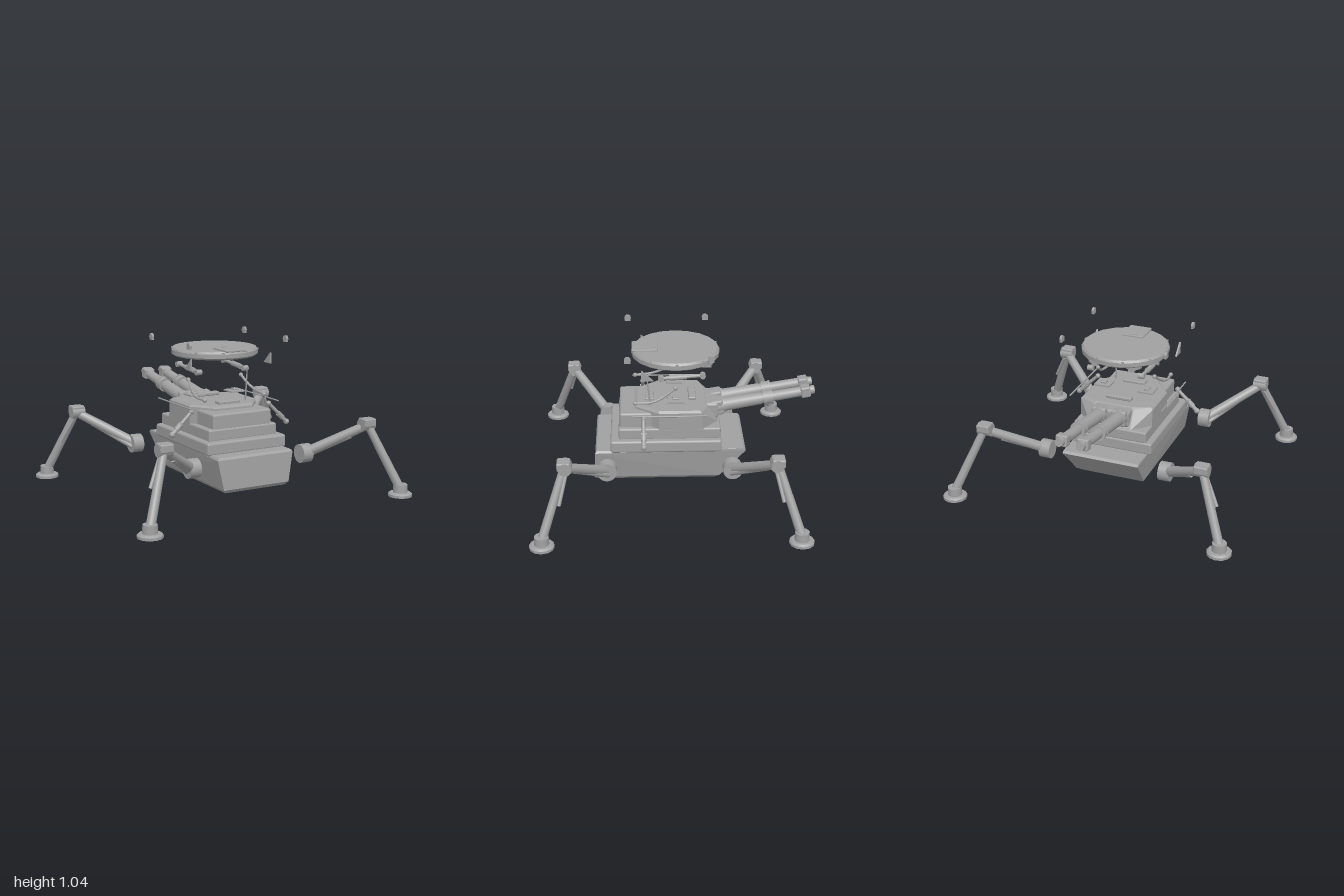
import * as THREE from 'three';
import { RoundedBoxGeometry } from 'three/addons/geometries/RoundedBoxGeometry.js';
import { ConvexGeometry } from 'three/addons/geometries/ConvexGeometry.js';

const V = (x, y, z) => new THREE.Vector3(x, y, z);

export function createModel() {
  const root = new THREE.Group();
  root.name = 'walkingTurret';
  const grey = new THREE.MeshStandardMaterial({ color: 0xa0a0a0 });
  grey.name = 'plain grey';

  const add = (name, geo, pos = [0, 0, 0], parent = root) => {
    const m = new THREE.Mesh(geo, grey);
    m.name = name;
    m.position.set(...pos);
    parent.add(m);
    return m;
  };
  const box = (name, size, pos, parent) => add(name, new THREE.BoxGeometry(...size), pos, parent);
  const rounded = (name, size, pos, r = 0.012, parent = root) =>
    add(name, new RoundedBoxGeometry(...size, 2, r), pos, parent);
  // Cylinder from point a to point b
  const rod = (name, a, b, r0, r1 = r0, sides = 16, parent = root) => {
    const d = b.clone().sub(a);
    const m = add(name, new THREE.CylinderGeometry(r1, r0, d.length(), sides), [0, 0, 0], parent);
    m.position.copy(a).addScaledVector(d, 0.5);
    m.quaternion.setFromUnitVectors(V(0, 1, 0), d.normalize());
    return m;
  };
  // Mirrored convex solid from half outlines [x, z] at given heights
  const solid = (name, layers) => {
    const pts = [];
    for (const [y, outline] of layers)
      for (const [x, z] of outline) pts.push(V(x, y, z), V(-x, y, z));
    return add(name, new ConvexGeometry(pts));
  };

  // Hull with tapered sides, raked stern and bevelled bottom
  solid('hull', [
    [0.325, [[0.27, 0.515], [0.265, -0.46]]],
    [0.31, [[0.28, 0.525], [0.265, -0.475]]],
    [0.115, [[0.243, 0.538], [0.243, -0.305]]],
    [0.092, [[0.222, 0.518], [0.222, -0.275]]],
  ]);

  // Stepped decks
  rounded('lowerDeck', [0.59, 0.085, 0.735], [0, 0.36, 0.055], 0.015);
  rounded('middleDeck', [0.51, 0.08, 0.675], [0, 0.435, 0.03], 0.012);
  rounded('frontHousing', [0.44, 0.11, 0.29], [0, 0.517, 0.215], 0.015);

  // Faceted turret
  solid('turret', [
    [0.598, [[0.13, 0.24], [0.24, 0.1], [0.24, -0.17], [0.13, -0.21]]],
    [0.585, [[0.135, 0.26], [0.255, 0.1], [0.255, -0.18], [0.14, -0.225]]],
    [0.465, [[0.135, 0.27], [0.255, 0.1], [0.255, -0.19], [0.14, -0.3]]],
  ]);
  rounded('rearVent', [0.18, 0.025, 0.05], [0, 0.612, -0.125], 0.008);
  rounded('frontVent', [0.16, 0.02, 0.06], [0, 0.605, 0.16], 0.006);
  rounded('mantlet', [0.26, 0.11, 0.1], [0, 0.54, -0.25], 0.02);

  for (const s of [-1, 1]) {
    // Elevated cannon
    const gun = new THREE.Group();
    gun.name = s > 0 ? 'leftCannon' : 'rightCannon';
    gun.position.set(s * 0.07, 0.548, -0.27);
    gun.rotation.x = 0.168;
    root.add(gun);
    const section = (name, from, to, r0, r1 = r0, sides = 20) =>
      rod(name, V(0, 0, -from), V(0, 0, -to), r0, r1, sides, gun);
    rounded('gunMount', [0.1, 0.105, 0.09], [0, 0, -0.02], 0.015, gun);
    section('breech', 0.02, 0.075, 0.055, 0.05);
    section('outerBarrel', 0.06, 0.325, 0.046, 0.041);
    section('barrelNeck', 0.32, 0.35, 0.036);
    section('collar', 0.335, 0.395, 0.046);
    for (const d of [0.34, 0.385]) section('collarRing', d, d + 0.014, 0.05);
    section('innerBarrel', 0.39, 0.6, 0.035, 0.033);
    rounded('muzzleBrake', [0.078, 0.075, 0.065], [0, 0, -0.62], 0.012, gun);
    section('muzzle', 0.64, 0.682, 0.032, 0.027);

    // Roof hatch plates and side rails
    box('roofPlate', [0.11, 0.01, 0.11], [s * 0.155, 0.64, -0.012]);
    rounded('roofPlateHandle', [0.035, 0.015, 0.045], [s * 0.155, 0.65, -0.012], 0.005);
    rod('sideRail', V(s * 0.325, 0.6, 0.275), V(s * 0.325, 0.6, -0.205), 0.005, 0.005, 8);

    // Side launcher with swollen ends
    const a = V(s * 0.295, 0.573, 0.203), b = V(s * 0.437, 0.435, 0.203);
    rod('sideArm', a, b, 0.011, 0.015, 12);
    add('sideArmTop', new THREE.SphereGeometry(0.018, 12, 8), a.toArray());
    add('sideArmTip', new THREE.SphereGeometry(0.02, 12, 8), b.toArray());
    rod('sideArmSleeve', a.clone().lerp(b, 0.55), a.clone().lerp(b, 0.78), 0.019, 0.019, 12);
    rod('sideArmPin', V(s * 0.375, 0.5, 0.185), V(s * 0.375, 0.5, 0.221), 0.01, 0.01, 8);

    // Hydraulic ram under the roof disc
    const r0 = V(s * 0.178, 0.805, 0.085), r1 = V(s * 0.178, 0.823, -0.188);
    rod('ram', r0, r1, 0.012, 0.012, 12);
    rod('ramSleeve', r0.clone().lerp(r1, 0.2), r0.clone().lerp(r1, 0.62), 0.018, 0.018, 12);
    for (const p of [r0, r1])
      rod('ramEye', p.clone().add(V(-0.02, 0, 0)), p.clone().add(V(0.02, 0, 0)), 0.019, 0.019, 14);

    // Curved hose
    const path = new THREE.CatmullRomCurve3([
      V(s * 0.225, 0.65, 0.255), V(s * 0.232, 0.658, 0.15),
      V(s * 0.218, 0.69, 0.07), V(s * 0.203, 0.745, -0.008),
    ]);
    add('hose', new THREE.TubeGeometry(path, 16, 0.009, 8));
    for (const p of [path.points[0], path.points[3]])
      add('hoseEnd', new THREE.SphereGeometry(0.015, 10, 8), p.toArray());

    // Triangular fin
    const tri = new THREE.Shape([[0.215, 0.92], [0.215, 0.845], [0.135, 0.845]]
      .map(([z, y]) => new THREE.Vector2(-z, y)));
    const fin = new THREE.ExtrudeGeometry(tri, { depth: 0.012, bevelEnabled: false });
    fin.translate(0, 0, -0.006).rotateY(Math.PI / 2);
    add('fin', fin, [s * 0.3, 0, 0]);

    // Hovering marker lamps
    for (const z of [0.3, -0.23]) {
      rod('markerLamp', V(s * 0.353, 1.018, z), V(s * 0.369, 1.018, z), 0.022, 0.022, 14);
      box('markerLampBase', [0.016, 0.02, 0.04], [s * 0.361, 1.007, z]);
    }

    // Round pads beneath the disc
    add('discPad', new THREE.CylinderGeometry(0.056, 0.056, 0.015, 16), [s * 0.128, 0.893, -0.2]);
    box('discPadFoot', [0.04, 0.02, 0.09], [s * 0.128, 0.877, -0.2]);
  }

  // Aerial
  rod('aerial', V(0.14, 0.595, 0.155), V(0.14, 0.825, 0.18), 0.006, 0.004, 8);

  // Roof disc with lid
  const disc = new THREE.Group();
  disc.name = 'roofDisc';
  disc.position.set(0, 0, -0.015);
  root.add(disc);
  const slab = (name, y0, y1, r0, r1) =>
    add(name, new THREE.CylinderGeometry(r1, r0, y1 - y0, 20), [0, (y0 + y1) / 2, 0], disc);
  slab('discUnderside', 0.9, 0.912, 0.275, 0.292);
  slab('discRim', 0.912, 0.94, 0.292, 0.292);
  slab('discTop', 0.94, 0.954, 0.292, 0.28);
  for (let i = 0; i < 10; i++) {
    const t = (i + 0.5) * Math.PI / 5;
    box('rimStud', [0.018, 0.012, 0.018], [Math.sin(t) * 0.282, 0.943, Math.cos(t) * 0.282], disc);
  }
  rounded('lid', [0.152, 0.015, 0.172], [0, 0.958, 0.188], 0.005);
  rounded('lidCatch', [0.04, 0.012, 0.022], [0, 0.967, 0.123], 0.004);

  // Four jointed legs
  for (const s of [-1, 1]) for (const f of [-1, 1]) {
    const leg = new THREE.Group();
    leg.name = (f > 0 ? 'front' : 'rear') + (s > 0 ? 'Left' : 'Right') + 'Leg';
    root.add(leg);
    const P = (x, y, z) => V(s * x, y, 0.035 + f * z);
    const part = (name, a, b, r0, r1, n) => rod(name, a, b, r0, r1, n, leg);
    part('hip', P(0.385, 0.265, 0.41), P(0.46, 0.265, 0.41), 0.063, 0.063, 18);
    part('thigh', P(0.43, 0.268, 0.415), P(0.745, 0.465, 0.66), 0.034, 0.03, 16);
    part('thighRam', P(0.45, 0.245, 0.4), P(0.66, 0.39, 0.605), 0.018, 0.014, 10);
    part('kneeJoint', P(0.7, 0.472, 0.66), P(0.792, 0.472, 0.66), 0.043, 0.043, 14);
    const knee = P(0.746, 0.488, 0.668).toArray();
    rounded('kneeCap', [0.09, 0.055, 0.085], knee, 0.01, leg);
    part('shin', P(0.755, 0.46, 0.67), P(0.915, 0.06, 0.808), 0.026, 0.03, 16);
    part('shinRam', P(0.775, 0.43, 0.655), P(0.86, 0.26, 0.7), 0.012, 0.012, 8);
    part('ankle', P(0.92, 0.022, 0.813), P(0.92, 0.08, 0.813), 0.048, 0.046, 14);
    part('footPlate', P(0.92, 0, 0.813), P(0.92, 0.017, 0.813), 0.08, 0.08, 12);
    part('footTop', P(0.92, 0.017, 0.813), P(0.92, 0.027, 0.813), 0.08, 0.066, 12);
  }
  return root;
}
